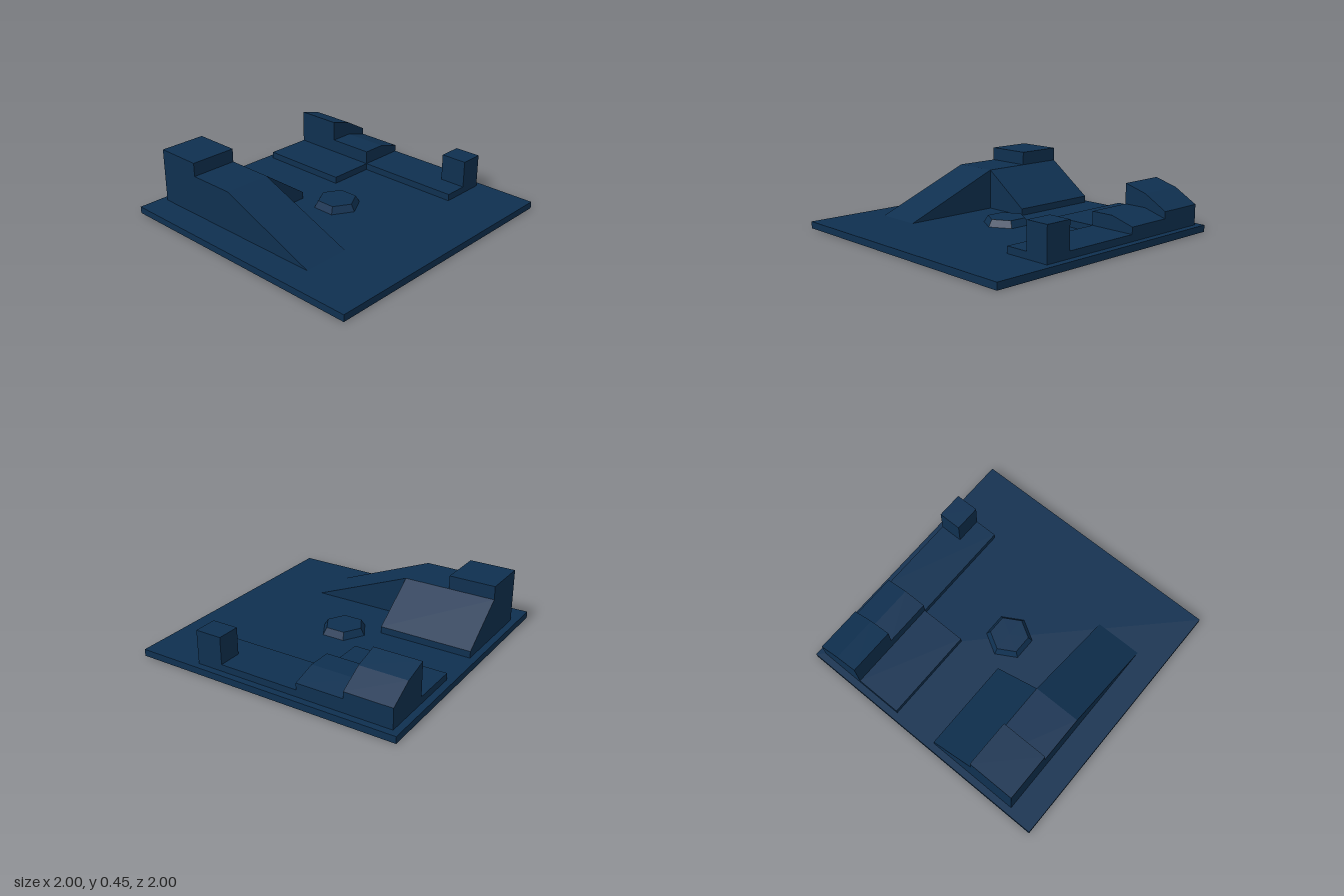
import * as THREE from 'three';

export function createModel() {
  const group = new THREE.Group();
  const navy = new THREE.MeshStandardMaterial({ color: 0x0f3050 });
  navy.name = 'navy';

  function add(name, geometry) {
    const mesh = new THREE.Mesh(geometry, navy);
    mesh.name = name;
    group.add(mesh);
    return mesh;
  }

  // Box given by its extents
  function block(name, x0, x1, y0, y1, z0, z1) {
    add(name, new THREE.BoxGeometry(x1 - x0, y1 - y0, z1 - z0))
      .position.set((x0 + x1) / 2, (y0 + y1) / 2, (z0 + z1) / 2);
  }

  // Outline in x and y, extruded from z0 to z1
  function prism(name, outline, z0, z1) {
    const shape = new THREE.Shape(outline.map(([x, y]) => new THREE.Vector2(x, y)));
    const geometry = new THREE.ExtrudeGeometry(shape, { depth: z1 - z0, bevelEnabled: false });
    geometry.translate(0, 0, z0);
    add(name, geometry);
  }

  const floor = 0.05;
  block('base', -1, 1, 0, floor, -1, 1);

  // Raised platform with its upper tier
  block('platform', -0.8, -0.45, floor, 0.35, -0.95, -0.25);
  block('upperTier', -0.8, -0.45, 0.35, 0.45, -0.95, -0.6);

  // Side ramp, ending in a low lip
  prism('sideRamp', [[-0.45, floor], [-0.1, floor], [-0.1, 0.1], [-0.45, 0.35]], -0.95, -0.25);

  // Front ramp, running down to the base: outline in z and y, turned to run along x
  const ramp = new THREE.Shape([
    new THREE.Vector2(-0.5, floor), new THREE.Vector2(0.25, floor), new THREE.Vector2(0.25, 0.35),
  ]);
  const rampGeometry = new THREE.ExtrudeGeometry(ramp, { depth: 0.35, bevelEnabled: false });
  rampGeometry.rotateY(Math.PI / 2);
  rampGeometry.translate(-0.8, 0, 0);
  add('frontRamp', rampGeometry);

  // Hexagonal centre plinth
  add('centrePlinth', new THREE.CylinderGeometry(0.14, 0.17, 0.05, 6).toNonIndexed())
    .position.y = 0.075;
  const plinth = group.getObjectByName('centrePlinth').geometry;
  plinth.computeVertexNormals();

  // Low slabs and corner post
  block('backSlab', 0.25, 0.6, floor, 0.1, -0.95, -0.25);
  block('sideSlab', 0.6, 0.95, floor, 0.1, -0.25, 0.55);
  block('cornerPost', 0.775, 0.95, 0.1, 0.3, 0.35, 0.55);

  // Two stepped blocks with faceted roofs
  prism('tallRoofBlock', [[0.6, floor], [0.95, floor], [0.95, 0.2], [0.775, 0.3], [0.6, 0.35]], -0.95, -0.6);
  prism('lowRoofBlock', [[0.6, floor], [0.95, floor], [0.95, 0.15], [0.775, 0.2], [0.6, 0.2]], -0.6, -0.25);

  return group;
}
